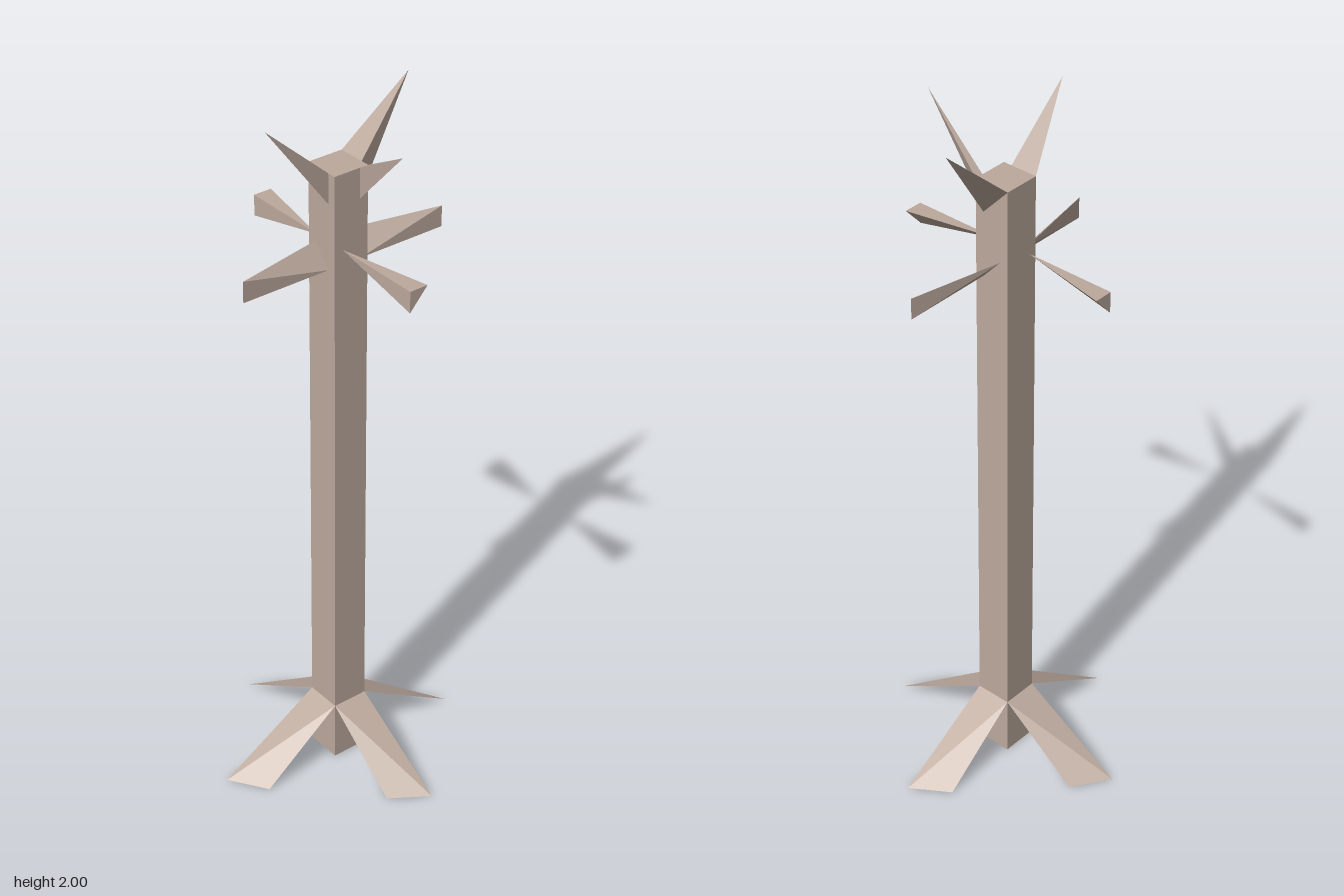
import * as THREE from 'three';
import { ConvexGeometry } from 'three/addons/geometries/ConvexGeometry.js';

export function createModel() {
  const group = new THREE.Group();
  const bark = new THREE.MeshStandardMaterial({ color: 0xbca99d });
  bark.name = 'bark';

  // Faceted sliver spanning a few corner points
  const sliver = (name, corners) => {
    const points = corners.map((c) => new THREE.Vector3(...c));
    const mesh = new THREE.Mesh(new ConvexGeometry(points), bark);
    mesh.name = name;
    group.add(mesh);
  };

  // Square trunk
  const trunk = new THREE.Mesh(new THREE.BoxGeometry(0.104, 1.83, 0.104), bark);
  trunk.name = 'trunk';
  trunk.position.y = 0.915;
  group.add(trunk);

  const r = 0.052;
  const h = 0.027;

  for (const s of [-1, 1]) {
    const side = s > 0 ? 'left' : 'right';
    const end = s > 0 ? 'front' : 'back';
    // Roots: slanted strips with skewed ends
    const a = s > 0 ? 0.283 : 0.352;
    const b = s > 0 ? 0.352 : 0.283;
    sliver(side + 'Root', [[s * r, 0.18, -r], [s * r, 0.18, r], [s * a, 0, -r], [s * b, 0, r]]);
    sliver(end + 'Root', [[-r, 0.18, s * r], [r, 0.18, s * r], [-r, 0, s * a], [r, 0, s * b]]);

    // Side branches keep their height, front and back ones flare outward
    sliver(side + 'Branch', [
      [s * r, 1.62, -h], [s * r, 1.56, h], [s * 0.315, 1.62, h], [s * 0.315, 1.56, h],
    ]);
    sliver(end + 'Branch', [
      [-h, 1.62, s * r], [-h, 1.62, s * 0.315], [h, 1.62, s * 0.315], [-h, 1.56, s * 0.315],
    ]);

    // Pointed side twigs at the top
    sliver(side + 'Twig', [
      [s * r, 1.83, -r], [s * r, 1.83, h], [s * r, 1.745, h], [s * 0.242, 2, -s * h],
    ]);
  }

  // Pointed front twig
  sliver('frontTwig', [[r, 1.83, r], [h, 1.83, r], [h, 1.745, r], [-h, 1.965, 0.28]]);

  return group;
}
